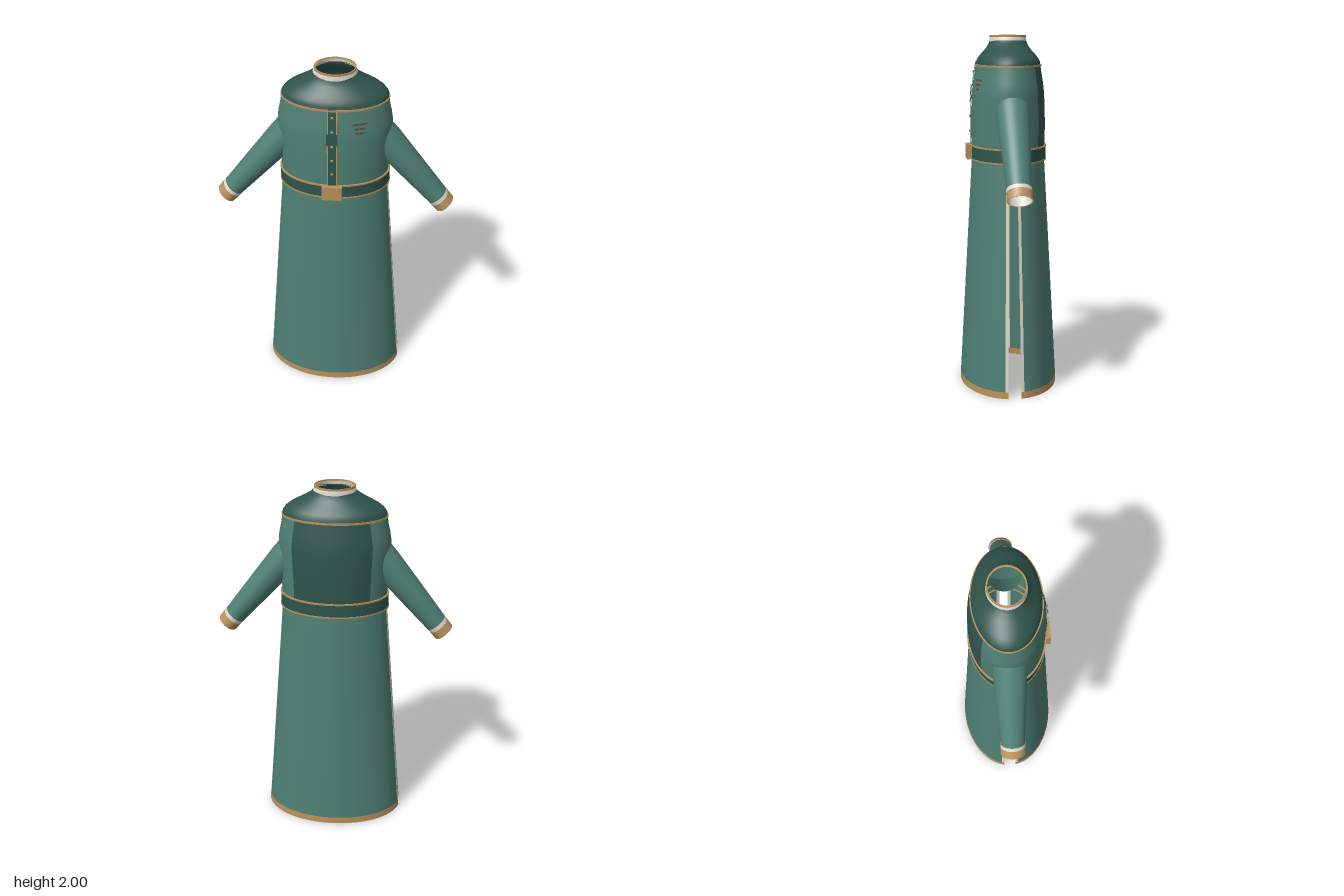
import * as THREE from 'three';
import { toCreasedNormals } from 'three/addons/utils/BufferGeometryUtils.js';

const mat = (name, color) => {
  const m = new THREE.MeshStandardMaterial({ color, side: THREE.DoubleSide });
  m.name = name;
  return m;
};

// Elliptical shell through rows [y, rx, rz]; span(row) gives start and end angle (0 = front, + = left)
function loft(rows, span = null, seg = 64) {
  const pos = [], idx = [], n = span ? seg + 1 : seg;
  for (const row of rows) {
    const [a, b] = span ? span(row) : [0, Math.PI * 2];
    for (let i = 0; i < n; i++) {
      const t = a + (b - a) * i / seg;
      pos.push(row[1] * Math.sin(t), row[0], row[2] * Math.cos(t));
    }
  }
  for (let j = 0; j < rows.length - 1; j++) {
    for (let i = 0; i < seg; i++) {
      const k = (i + 1) % n;
      const p = j * n + i, q = j * n + k, r = p + n, s = q + n;
      idx.push(p, q, s, p, s, r);
    }
  }
  const g = new THREE.BufferGeometry();
  g.setAttribute('position', new THREE.Float32BufferAttribute(pos, 3));
  g.setIndex(idx);
  g.computeVertexNormals();
  return g;
}

// Torso and yoke profile: y, half width, half depth
const BODY = [
  [1.3, 0.295, 0.205], [1.4, 0.296, 0.208], [1.5, 0.3, 0.209], [1.6, 0.306, 0.207], [1.66, 0.31, 0.204],
  [1.7, 0.31, 0.201], [1.74, 0.304, 0.196], [1.79, 0.293, 0.188], [1.835, 0.287, 0.181],
  [1.855, 0.284, 0.178], [1.875, 0.27, 0.168], [1.895, 0.245, 0.152], [1.915, 0.208, 0.134],
  [1.935, 0.168, 0.118], [1.955, 0.134, 0.107], [1.972, 0.118, 0.103],
];

// Interpolated profile row, pushed outward by o
function at(y, o = 0) {
  let i = 0;
  while (i < BODY.length - 2 && BODY[i + 1][0] < y) i++;
  const a = BODY[i], b = BODY[i + 1], t = (y - a[0]) / (b[0] - a[0]);
  return [y, a[1] + (b[1] - a[1]) * t + o, a[2] + (b[2] - a[2]) * t + o];
}

// Thin plate lying on the chest
function patch(x0, x1, y0, y1, o) {
  const rows = [], n = Math.max(2, Math.ceil((y1 - y0) / 0.025));
  for (let i = 0; i <= n; i++) rows.push(at(y0 + (y1 - y0) * i / n, o));
  return loft(rows, r => [Math.asin(x0 / r[1]), Math.asin(x1 / r[1])], 6);
}

// Raised band around the body
function band(y0, y1, rx, rz, d) {
  const g = loft([[y0, rx, rz], [y0, rx + d, rz + d], [y1, rx + d, rz + d], [y1, rx, rz]]);
  return toCreasedNormals(g, 0.7);
}

export function createModel() {
  const green = mat('green cloth', 0x4f7f73);
  const dark = mat('dark green cloth', 0x2f544d);
  const tan = mat('tan trim', 0xb8905a);
  const white = mat('pale lining', 0xded8cc);
  const brown = mat('brown stitching', 0x5e4a30);
  const model = new THREE.Group();
  model.name = 'robe';
  const add = (name, geometry, material, parent = model) => {
    const m = new THREE.Mesh(geometry, material);
    m.name = name;
    parent.add(m);
    return m;
  };

  // Torso, back panel and yoke
  const torso = BODY.slice(0, 9), q = Math.PI * 0.75;
  add('torso', loft(torso, () => [-q, q]), green);
  add('backPanel', loft(torso, () => [q, 2 * Math.PI - q], 24), dark);
  add('yoke', loft(BODY.slice(8)), dark);
  add('yokePiping', band(1.83, 1.84, 0.284, 0.179, 0.008), tan);

  // Collar
  add('collar', loft([[1.965, 0.12, 0.105], [1.98, 0.116, 0.103], [1.992, 0.111, 0.101]]), white);
  add('collarRim', band(1.99, 2, 0.105, 0.095, 0.007), tan);

  // Skirt: front and back halves, parted by slits that widen downward
  const skirtRow = y => [y, 0.4 - 0.105 * y / 1.32, 0.28 - 0.075 * y / 1.32];
  const gap = y => 0.037 - 0.016 * y / 1.32;
  const edge = (r, extra) => Math.acos((gap(r[0]) + extra) / r[2]);
  const upper = [], lower = [skirtRow(0), skirtRow(0.038)];
  for (let i = 0; i <= 10; i++) upper.push(skirtRow(0.038 + 1.282 * i / 10));
  for (const [side, turn] of [['front', 0], ['back', Math.PI]]) {
    const half = new THREE.Group();
    half.name = side + 'Skirt';
    half.rotation.y = turn;
    model.add(half);
    add('skirtCloth', loft(upper, r => [-edge(r, 0.017), edge(r, 0.017)], 48), green, half);
    add('hem', loft(lower, r => [-edge(r, 0), edge(r, 0)], 48), tan, half);
    for (const s of [-1, 1]) {
      add('slitTrim', loft(upper, r => [s * edge(r, 0.017), s * edge(r, 0)].sort((a, b) => a - b), 2), white, half);
    }
  }

  // Belt and buckle
  add('belt', band(1.312, 1.388, 0.29, 0.2, 0.013), dark);
  for (const y of [1.31, 1.386]) add('beltPiping', band(y - 0.004, y + 0.004, 0.29, 0.2, 0.016), tan);
  add('buckle', new THREE.BoxGeometry(0.11, 0.082, 0.03), tan).position.set(0, 1.349, 0.223);

  // Placket with edging, tab and buttons
  add('placket', patch(-0.022, 0.022, 1.39, 1.86, 0.005), dark);
  for (const x of [-0.024, 0.024]) add('placketEdge', patch(x - 0.003, x + 0.003, 1.39, 1.845, 0.007), tan);
  add('placketTab', patch(-0.03, 0.03, 1.64, 1.71, 0.01), dark);
  for (const y of [1.465, 1.55, 1.635, 1.72, 1.8]) {
    const button = add('button', new THREE.SphereGeometry(0.008, 12, 8), tan);
    button.position.set(0, y, at(y, 0.009)[2]);
    button.scale.z = 0.6;
  }

  // Chest stitching
  [[0.038, 1.757], [0.027, 1.732], [0.02, 1.707]].forEach(([w, y]) => {
    add('chestStitch', patch(0.143 - w, 0.143 + w, y - 0.005, y + 0.005, 0.005), brown);
  });

  // Sleeves with lined cuffs
  for (const s of [-1, 1]) {
    const sleeve = new THREE.Group();
    sleeve.name = s > 0 ? 'leftSleeve' : 'rightSleeve';
    sleeve.position.set(s * 0.62, 1.162, 0);
    sleeve.rotation.z = s * 0.694;
    model.add(sleeve);
    add('sleeveCloth', loft([[0.07, 0.061, 0.066], [0.3, 0.075, 0.079], [0.53, 0.088, 0.092], [0.63, 0.088, 0.092]], null, 40), green, sleeve);
    add('cuffLining', loft([[0.048, 0.06, 0.068], [0.072, 0.062, 0.068]], null, 40), white, sleeve);
    add('cuff', loft([[0, 0.059, 0.069], [0.05, 0.061, 0.069]], null, 40), tan, sleeve);
    add('cuffInside', loft([[0, 0.059, 0.069], [0.001, 0.053, 0.062], [0.05, 0.055, 0.062]], null, 40), white, sleeve);
  }
  return model;
}
